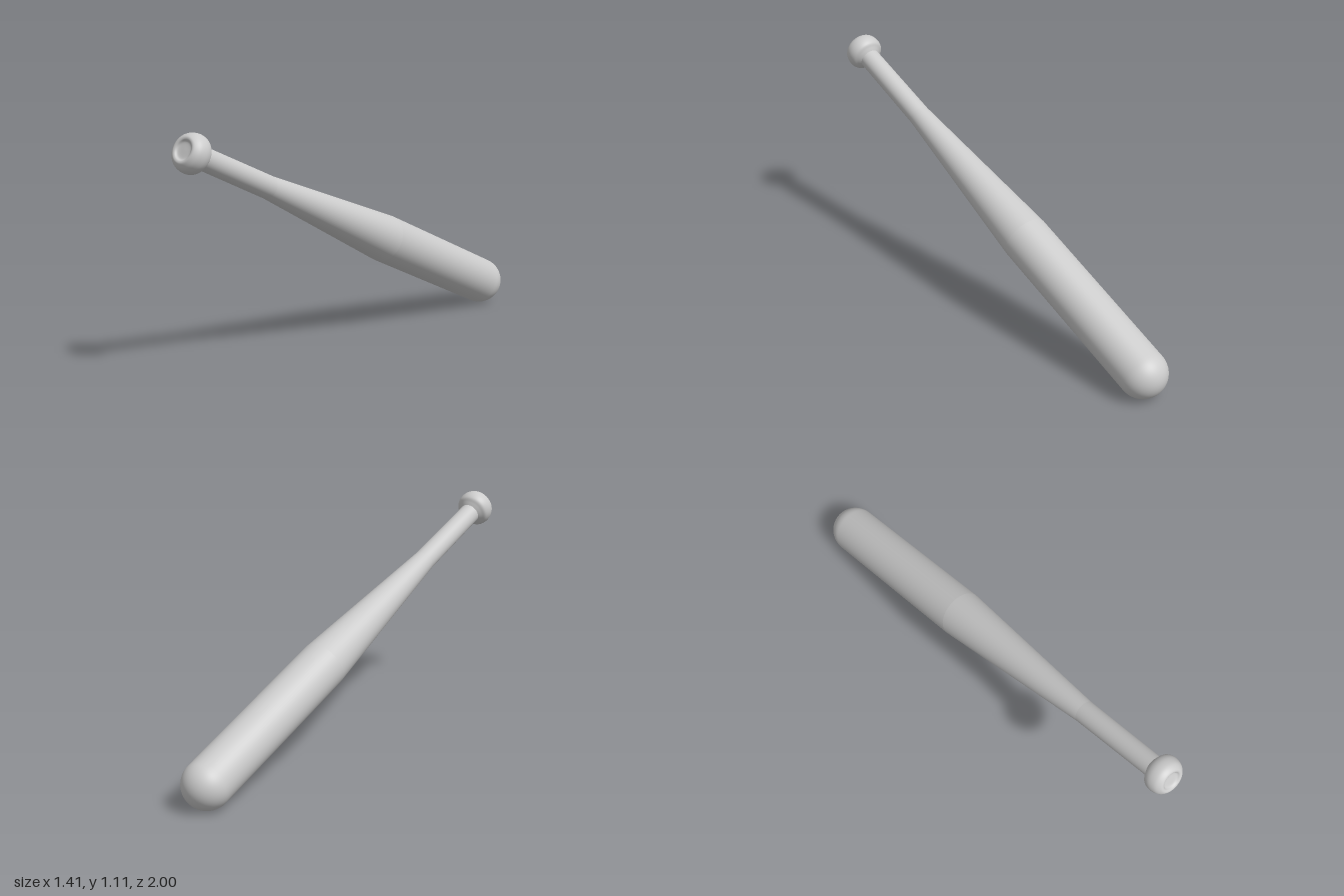
import * as THREE from 'three';

const material = new THREE.MeshStandardMaterial({ color: 0xcccccc });
const v = (r, s) => new THREE.Vector2(r, s);

// Turned part: profile of (radius, distance along the axis)
function turned(name, points) {
  const mesh = new THREE.Mesh(new THREE.LatheGeometry(points, 64), material);
  mesh.name = name;
  return mesh;
}

export function createModel() {
  const bat = new THREE.Group();
  bat.name = 'bat';

  // Axis runs from the middle of the knob to the centre of the rounded tip
  const start = new THREE.Vector3(-0.617, 1.02, 0.914);
  const end = new THREE.Vector3(0.587, 0.118, -0.88);
  const length = start.distanceTo(end);

  // Knob: rounded rim with a slightly dished end
  const rim = new THREE.SplineCurve([
    v(0, -0.046), v(0.036, -0.047), v(0.05, -0.057), v(0.065, -0.055), v(0.084, -0.034),
    v(0.092, 0), v(0.085, 0.03), v(0.067, 0.045), v(0.052, 0.056),
  ]).getPoints(40);
  rim[0].x = 0;
  bat.add(turned('knob', rim));

  // Handle: nearly straight grip
  const gripEnd = 0.52, taperEnd = 1.435, r = 0.118;
  bat.add(turned('handle', [v(0.052, 0.03), v(0.055, gripEnd)]));

  // Taper widening to the barrel
  bat.add(turned('taper', [v(0.055, gripEnd), v(r, taperEnd)]));

  // Barrel with a hemispherical tip
  const barrel = [v(r, taperEnd), v(r, length - 0.01)];
  for (let i = 0; i <= 20; i++) {
    const a = (i / 20) * Math.PI / 2;
    barrel.push(v(i === 20 ? 0 : r * Math.cos(a), length + r * Math.sin(a)));
  }
  bat.add(turned('barrel', barrel));

  // Lean the bat into place
  const dir = end.clone().sub(start).normalize();
  bat.quaternion.setFromUnitVectors(new THREE.Vector3(0, 1, 0), dir);
  bat.position.copy(start);

  const model = new THREE.Group();
  model.add(bat);
  return model;
}
